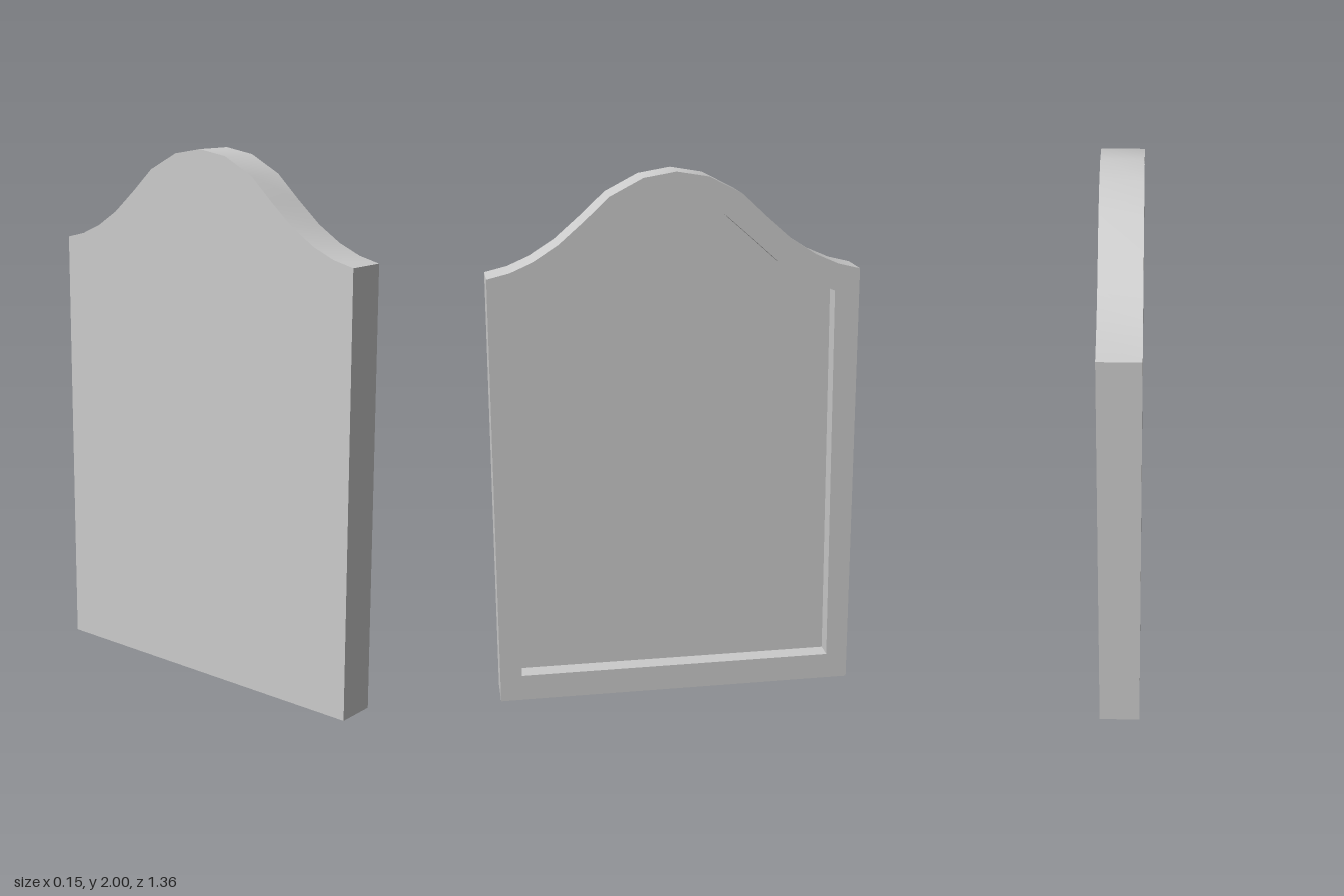
import * as THREE from 'three';
import { mergeGeometries, toCreasedNormals } from 'three/addons/utils/BufferGeometryUtils.js';

const HALF = 0.075;   // half the board thickness
const FLOOR = 0.005;  // x of the recessed panel face

// Half profiles (across, up), from the peak down to the bottom corner
const OUTER = [[0, 2], [0.118, 1.98], [0.239, 1.917], [0.33, 1.832], [0.424, 1.75],
  [0.515, 1.692], [0.6, 1.655], [0.682, 1.635], [0.682, 0]];
const INNER = [[0, 1.9], [0.1, 1.888], [0.18, 1.84], [0.276, 1.756], [0.377, 1.666],
  [0.478, 1.6], [0.59, 1.555], [0.6, 0.1]];

// Mirrored closed outline, counter-clockwise from the bottom right corner
function outline(half) {
  const right = [...half].reverse();
  const left = half.slice(1).map(([u, y]) => [-u, y]);
  return [...right, ...left].map(([u, y]) => new THREE.Vector2(u, y));
}

// Band of side walls following an outline between two depths
function walls(points, z0, z1) {
  const pos = [];
  points.forEach((a, i) => {
    const b = points[(i + 1) % points.length];
    pos.push(a.x, a.y, z0, b.x, b.y, z0, b.x, b.y, z1);
    pos.push(a.x, a.y, z0, b.x, b.y, z1, a.x, a.y, z1);
  });
  const geo = new THREE.BufferGeometry();
  geo.setAttribute('position', new THREE.Float32BufferAttribute(pos, 3));
  return toCreasedNormals(geo, 0.6);
}

// Flat face at a given depth
function face(shape, z) {
  const geo = new THREE.ShapeGeometry(shape).toNonIndexed();
  geo.deleteAttribute('uv');
  return geo.translate(0, 0, z);
}

export function createModel() {
  const group = new THREE.Group();
  group.name = 'archedPanel';
  const material = new THREE.MeshStandardMaterial({ color: 0xcccccc });
  const add = (name, geo) => {
    const mesh = new THREE.Mesh(geo, material);
    mesh.name = name;
    group.add(mesh);
  };

  const outer = outline(OUTER);
  const inner = outline(INNER);
  const rim = new THREE.Shape(outer);
  rim.holes.push(new THREE.Path(inner));

  // Raised border: outside walls, front rim and the walls of the recess
  add('frame', mergeGeometries([
    walls(outer, -HALF, HALF),
    face(rim, HALF),
    walls([...inner].reverse(), FLOOR, HALF),
  ]).rotateY(Math.PI / 2));

  // Sunken face inside the border
  add('recessedPanel', face(new THREE.Shape(inner), FLOOR).rotateY(Math.PI / 2));

  // Plain back
  add('backFace', face(new THREE.Shape(outer), HALF).rotateY(-Math.PI / 2));

  return group;
}
